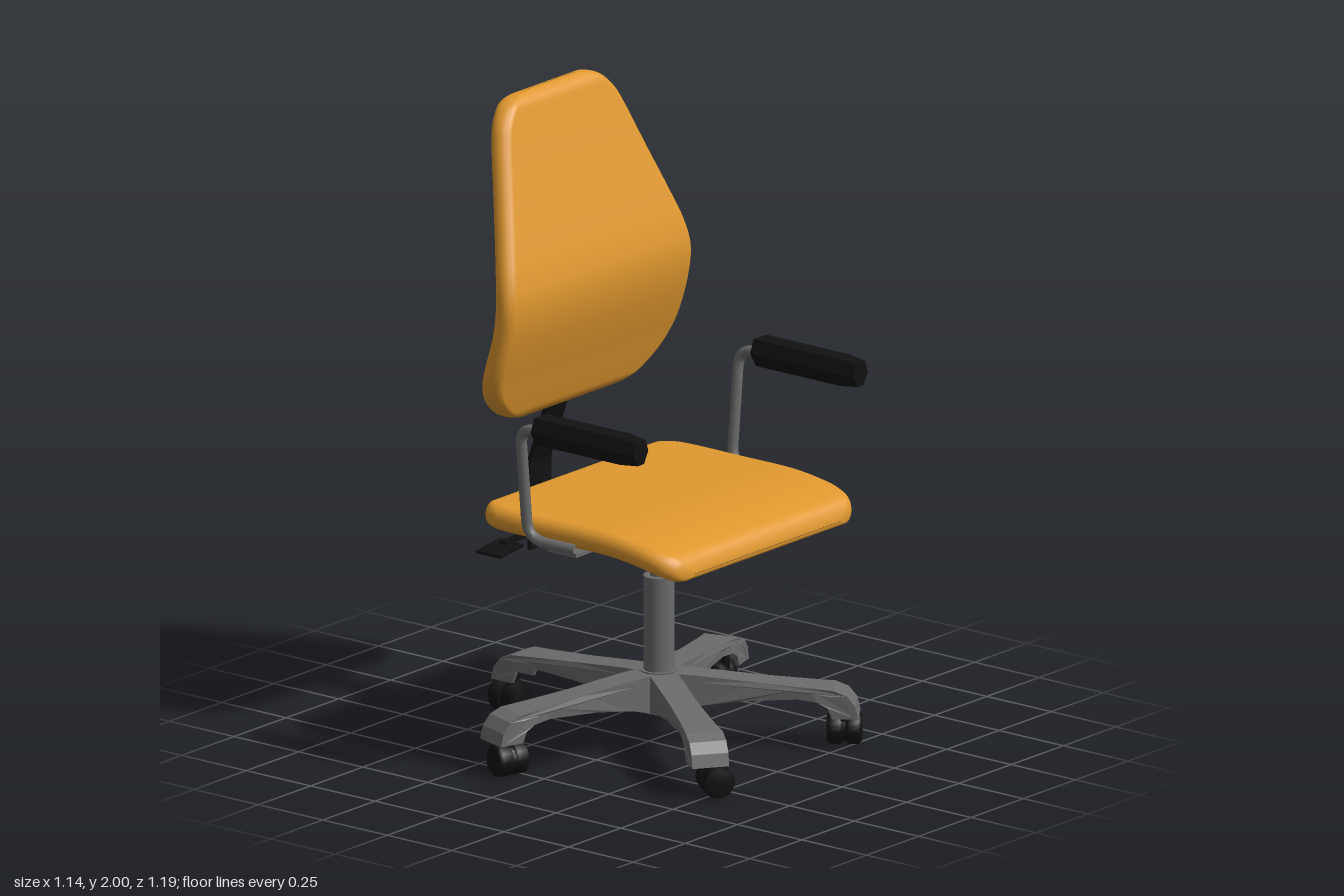
import * as THREE from 'three';
import { RoundedBoxGeometry } from 'three/addons/geometries/RoundedBoxGeometry.js';

const fabric = new THREE.MeshStandardMaterial({ color: 0xe0982f });
const black = new THREE.MeshStandardMaterial({ color: 0x111111 });
const metal = new THREE.MeshStandardMaterial({ color: 0x6b6b6b });
const MID_Z = -0.007;

function add(parent, name, geometry, material, x = 0, y = 0, z = 0) {
  const mesh = new THREE.Mesh(geometry, material);
  mesh.name = name;
  mesh.position.set(x, y, z);
  parent.add(mesh);
  return mesh;
}

function box(parent, name, material, [x0, x1], [y0, y1], [z0, z1]) {
  return add(parent, name, new THREE.BoxGeometry(x1 - x0, y1 - y0, z1 - z0), material,
    (x0 + x1) / 2, (y0 + y1) / 2, (z0 + z1) / 2);
}

// Side profile (x, y) extruded to a width centred on z = 0
function profile(points, width, steps = 1) {
  const shape = new THREE.Shape(points.map(p => new THREE.Vector2(...p)));
  return new THREE.ExtrudeGeometry(shape, { depth: width, steps, bevelEnabled: false }).translate(0, 0, -width / 2);
}

// Upholstered pad lofted along a guide of [along, halfWidth, centre]
function pad(guide, half, upright) {
  const curve = new THREE.CatmullRomCurve3(guide.map(p => new THREE.Vector3(...p)), false, 'centripetal');
  const rows = 72, arc = 8, ring = 2 * (arc + 1);
  const start = guide[0][0], end = guide[guide.length - 1][0];
  const pos = [], index = [];
  for (let i = 0; i <= rows; i++) {
    const p = curve.getPoint((1 - Math.cos(Math.PI * i / rows)) / 2);
    const d = Math.max(0, Math.min(p.x - start, end - p.x, half));
    const h = Math.max(0.0005, Math.sqrt(half * half - (half - d) ** 2));
    for (let j = 0; j < ring; j++) {
      const side = j <= arc ? 1 : -1;
      const a = -Math.PI / 2 + Math.PI * (j <= arc ? j : j - 1) / arc;
      const z = side * (p.y - h) + h * Math.cos(a);
      const o = p.z + h * Math.sin(a);
      pos.push(...(upright ? [o, p.x, z] : [p.x, o, z]));
      if (i === rows) continue;
      const k = (j + 1) % ring;
      const [q, r, s, t] = [i * ring + j, (i + 1) * ring + j, i * ring + k, (i + 1) * ring + k];
      if (upright) index.push(q, s, r, r, s, t);
      else index.push(q, r, s, r, t, s);
    }
  }
  const g = new THREE.BufferGeometry();
  g.setAttribute('position', new THREE.Float32BufferAttribute(pos, 3));
  g.setIndex(index);
  g.computeVertexNormals();
  return g;
}

// One spoke of the base, pointing along +x, with its caster
function makeLeg() {
  const leg = new THREE.Group();
  leg.name = 'baseLeg';
  const top = [[0, 0.235], [0.12, 0.226], [0.3, 0.208], [0.45, 0.195], [0.53, 0.188], [0.57, 0.172], [0.595, 0.14], [0.605, 0.1]];
  const skin = [[0.585, 0.1], [0.575, 0.135], [0.555, 0.155], [0.52, 0.17], [0.45, 0.177], [0.3, 0.188], [0.12, 0.205], [0, 0.21]];
  const wall = [[0.525, 0.1], [0.51, 0.135], [0.48, 0.15], [0.42, 0.157], [0.25, 0.148], [0.12, 0.13], [0.03, 0.105], [0, 0.105]];
  const width = r => (r < 0.4 ? 0.088 : 0.088 + 0.027 * Math.min(1, (r - 0.4) / 0.1));
  const flare = (g, shift) => {
    const p = g.attributes.position;
    for (let i = 0; i < p.count; i++) {
      const w = width(p.getX(i));
      p.setZ(i, shift ? p.getZ(i) + shift * (w / 2 - 0.007) : p.getZ(i) * w);
    }
    g.computeVertexNormals();
    return g;
  };
  add(leg, 'legTop', flare(profile([...top, ...skin].reverse(), 1), 0), metal);
  for (const s of [-1, 1]) add(leg, 'legWall', flare(profile([...top, ...wall].reverse(), 0.013), s), metal);
  add(leg, 'legRib', profile([[0, 0.12], [0.45, 0.165], [0.45, 0.185], [0, 0.22]], 0.014), metal);
  // Twin wheels set to one side of the swivel stem
  for (const r of [0.531, 0.586]) {
    const tread = [[0, -0.025], [0.04, -0.025], [0.05, -0.016], [0.05, 0.016], [0.04, 0.025], [0, 0.025]];
    const wheel = new THREE.LatheGeometry(tread.map(p => new THREE.Vector2(...p)), 20).rotateZ(Math.PI / 2);
    add(leg, 'casterWheel', wheel, black, r, 0.05, -0.026);
  }
  add(leg, 'casterHub', new THREE.CylinderGeometry(0.042, 0.042, 0.06, 16).rotateZ(Math.PI / 2), black, 0.558, 0.05, -0.026);
  add(leg, 'casterStem', new THREE.CylinderGeometry(0.014, 0.014, 0.09, 12), black, 0.558, 0.125, 0);
  return leg;
}

// Armrest on the +z side
function makeArm() {
  const arm = new THREE.Group();
  arm.name = 'armrest';
  const path = new THREE.CurvePath();
  const v = (x, y) => new THREE.Vector3(x, y, 0.487 + (y - 0.735) * 0.1);
  const line = (a, b) => path.add(new THREE.LineCurve3(a, b));
  const bend = (a, b, c) => path.add(new THREE.QuadraticBezierCurve3(a, b, c));
  line(v(0.11, 0.735), v(-0.01, 0.735));
  bend(v(-0.01, 0.735), v(-0.079, 0.735), v(-0.079, 0.8));
  line(v(-0.079, 0.8), v(-0.079, 1.04));
  bend(v(-0.079, 1.04), v(-0.079, 1.097), v(-0.02, 1.097));
  line(v(-0.02, 1.097), v(0.1, 1.097));
  add(arm, 'armTube', new THREE.TubeGeometry(path, 60, 0.017, 12), metal);
  box(arm, 'armMountPlate', metal, [0, 0.11], [0.712, 0.724], [0.32, 0.49]);
  const grip = profile([[-0.02, 1.06], [0.02, 1.06], [0.047, 1.105], [0.03, 1.147], [-0.03, 1.147], [-0.047, 1.105]], 0.39, 6);
  // Taper the front end of the grip
  const p = grip.attributes.position;
  for (let i = 0; i < p.count; i++) {
    if (p.getZ(i) > 0.19) p.setXYZ(i, p.getX(i) * 0.75, 1.105 + (p.getY(i) - 1.105) * 0.85, p.getZ(i));
  }
  grip.computeVertexNormals();
  add(arm, 'armPad', grip.rotateY(Math.PI / 2), black, 0.195, 0, 0.525);
  return arm;
}

export function createModel() {
  const chair = new THREE.Group();
  chair.name = 'officeChair';

  // Five-legged base and gas column
  const base = new THREE.Group();
  base.name = 'base';
  base.position.set(0.035, 0, -0.006);
  for (let i = 0; i < 5; i++) {
    const leg = makeLeg();
    leg.rotation.y = Math.PI + i * Math.PI * 2 / 5;
    base.add(leg);
  }
  add(base, 'hub', new THREE.CylinderGeometry(0.058, 0.045, 0.135, 24), metal, 0, 0.1675, 0);
  add(base, 'columnSleeve', new THREE.CylinderGeometry(0.047, 0.047, 0.31, 24), metal, 0, 0.375, 0);
  add(base, 'columnRod', new THREE.CylinderGeometry(0.027, 0.027, 0.15, 20), metal, 0, 0.59, 0);
  chair.add(base);

  const upper = new THREE.Group();
  upper.name = 'upperChair';
  upper.position.z = MID_Z;
  chair.add(upper);

  // Seat with a drooping front edge
  add(upper, 'seat', pad([
    [-0.32, 0.35, 0.755], [-0.311, 0.394, 0.756], [-0.29, 0.43, 0.757], [-0.25, 0.455, 0.758], [-0.2, 0.463, 0.758],
    [0, 0.463, 0.758], [0.2, 0.463, 0.757], [0.3, 0.463, 0.746], [0.36, 0.461, 0.735], [0.41, 0.447, 0.721],
    [0.44, 0.42, 0.708], [0.452, 0.388, 0.699], [0.456, 0.35, 0.695],
  ], 0.037, false), fabric);

  // Backrest with a lumbar bend
  add(upper, 'backrest', pad([
    [1.008, 0.2, -0.333], [1.018, 0.265, -0.331], [1.045, 0.33, -0.322], [1.1, 0.397, -0.303], [1.16, 0.433, -0.283],
    [1.22, 0.445, -0.262], [1.33, 0.446, -0.23], [1.42, 0.445, -0.22], [1.5, 0.43, -0.233], [1.6, 0.396, -0.264],
    [1.75, 0.342, -0.315], [1.87, 0.3, -0.355], [1.93, 0.272, -0.374], [1.975, 0.228, -0.388], [1.994, 0.18, -0.393], [2, 0.13, -0.394],
  ], 0.036, true), fabric);

  // Backrest support strip
  add(upper, 'backStrip', profile([
    [-0.436, 0.53], [-0.424, 0.53], [-0.424, 0.805], [-0.29, 1.2], [-0.302, 1.2], [-0.436, 0.81],
  ], 0.1), black);

  // Tilt mechanism
  box(upper, 'mechanism', black, [-0.41, 0.09], [0.64, 0.725], [-0.07, 0.07]);
  add(upper, 'stripClamp', new RoundedBoxGeometry(0.13, 0.13, 0.14, 2, 0.008), black, -0.39, 0.655, 0);
  box(upper, 'clampKnob', black, [-0.1, -0.01], [0.628, 0.66], [-0.05, 0.05]);

  // Adjustment levers with flat paddles
  for (const s of [-1, 1]) {
    const rear = box(upper, 'rearLever', black, [-0.275, -0.25], [0.657, 0.669], [0.05, 0.38]);
    rear.position.z *= s;
    const paddle = box(upper, 'rearPaddle', black, [-0.31, -0.215], [0.657, 0.666], [0.34, 0.45]);
    paddle.position.z *= s;
    if (s > 0) { paddle.rotation.x = 0.12; paddle.position.y = 0.648; }
    const front = box(upper, 'frontPaddle', black, [-0.1, -0.005], [0.656, 0.676], [0.05, 0.305]);
    front.position.z *= s;
  }

  // Armrests, mirrored side to side
  for (const s of [-1, 1]) {
    const arm = makeArm();
    arm.scale.z = s;
    upper.add(arm);
  }
  return chair;
}
